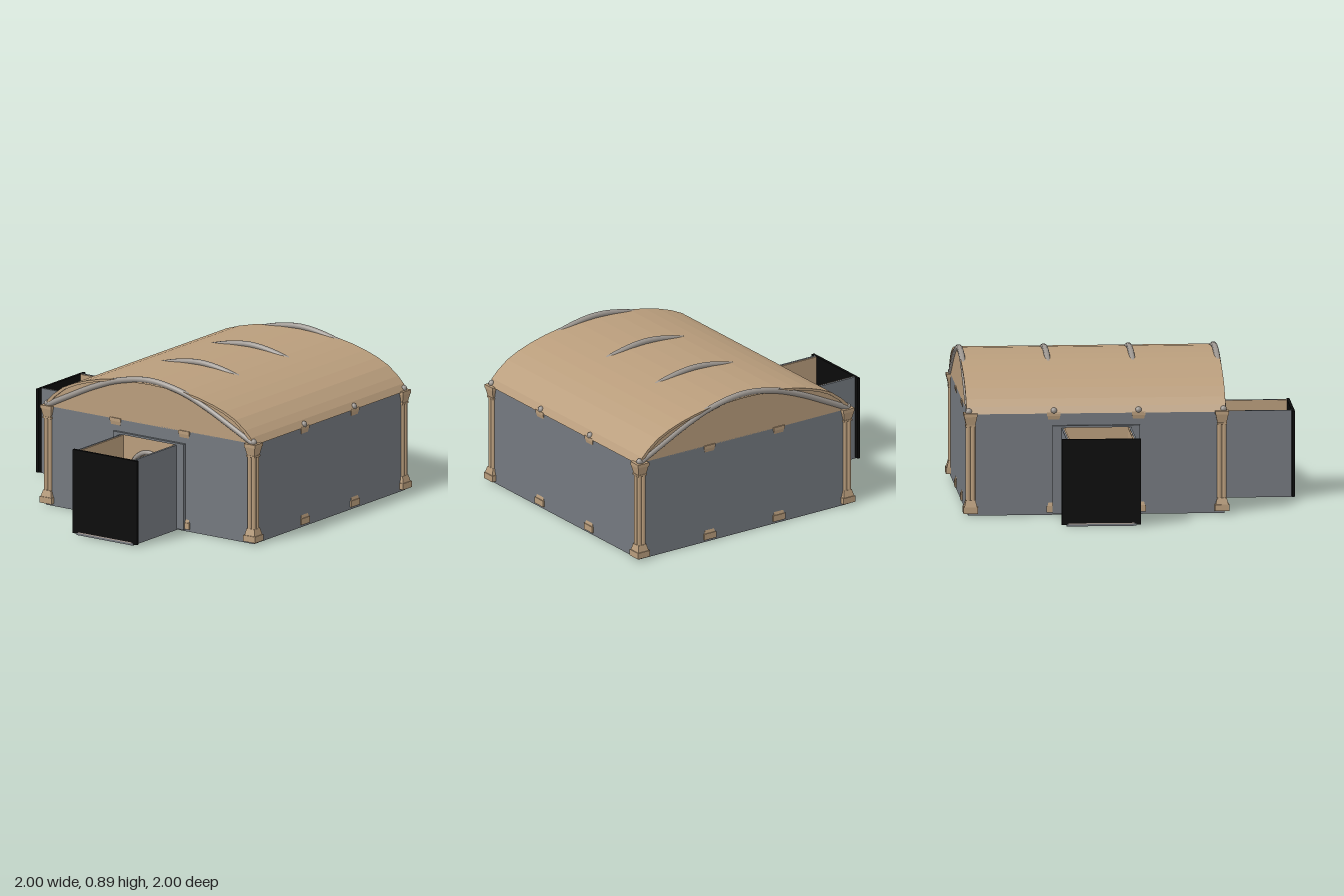
import * as THREE from 'three';

const mat = (name, color) => {
  const m = new THREE.MeshStandardMaterial({ color });
  m.name = name;
  return m;
};

export function createModel() {
  const wallGrey = mat('wall grey', 0x74797f);
  const sandstone = mat('sandstone', 0xb99d7c);
  const ribGrey = mat('rib grey', 0x9c9690);
  const floorStone = mat('floor stone', 0xaa9d95);
  const black = mat('black', 0x0a0a0a);

  const model = new THREE.Group();
  const hall = new THREE.Group();
  hall.name = 'hall';
  hall.position.set(0.21, 0, -0.215);
  model.add(hall);

  const add = (parent, name, geo, material, x = 0, y = 0, z = 0) => {
    const m = new THREE.Mesh(geo, material);
    m.name = name;
    m.position.set(x, y, z);
    parent.add(m);
    return m;
  };
  const box = (parent, name, material, w, h, d, x, y, z) =>
    add(parent, name, new THREE.BoxGeometry(w, h, d), material, x, y, z);
  const extrude = (shape, depth) =>
    new THREE.ExtrudeGeometry(shape, { depth, bevelEnabled: false, curveSegments: 16 });
  const rect = (w, y0, y1) => new THREE.Shape([
    new THREE.Vector2(-w, y0), new THREE.Vector2(w, y0),
    new THREE.Vector2(w, y1), new THREE.Vector2(-w, y1)]);
  // Arched opening cut through a wall shape
  const cutArch = (shape) => {
    const hole = new THREE.Path();
    hole.moveTo(-0.12, 0.02);
    hole.lineTo(-0.12, 0.31);
    hole.absarc(0, 0.31, 0.12, Math.PI, 0, true);
    hole.lineTo(0.12, 0.02);
    hole.closePath();
    shape.holes.push(hole);
    return shape;
  };

  const W = 0.757, TOP = 0.61;

  // Floor slab
  box(hall, 'floorSlab', wallGrey, 2 * W, 0.014, 2 * W, 0, 0.007, 0);
  box(hall, 'innerFloor', floorStone, 2 * W - 0.04, 0.006, 2 * W - 0.04, 0, 0.017, 0);

  // Four walls and, on the front and the right, an open-topped passage
  for (let i = 0; i < 4; i++) {
    const side = new THREE.Group();
    side.name = ['frontSide', 'rightSide', 'backSide', 'leftSide'][i];
    side.rotation.y = -i * Math.PI / 2;
    hall.add(side);
    const shape = rect(W, 0.008, TOP), liner = rect(W - 0.02, 0.014, TOP);
    const hasPassage = i < 2;
    if (hasPassage) [shape, liner].forEach(cutArch);
    add(side, 'wall', extrude(shape, 0.01), wallGrey, 0, 0, W - 0.01);
    add(side, 'wallLining', extrude(liner, 0.008), sandstone, 0, 0, W - 0.018);
    if (hasPassage) addPassage(side);
  }

  function addPassage(side) {
    const passage = new THREE.Group();
    passage.name = 'passage';
    side.add(passage);
    const end = 1.21, len = end - W, mid = (end + W) / 2;
    box(passage, 'passageFloor', wallGrey, 0.41, 0.012, len, 0, 0.008, mid);
    box(passage, 'passagePaving', floorStone, 0.39, 0.006, len, 0, 0.017, mid);
    box(passage, 'endPlate', black, 0.468, 0.51, 0.018, 0, 0.265, end - 0.009);
    for (const s of [-1, 1]) {
      box(passage, 'passageWall', wallGrey, 0.012, 0.508, len - 0.018, s * 0.2, 0.266, mid - 0.009);
      box(passage, 'passageLining', sandstone, 0.008, 0.504, len - 0.018, s * 0.19, 0.266, mid - 0.009);
      box(passage, 'doorPost', wallGrey, 0.052, 0.515, 0.018, s * 0.232, 0.268, W + 0.009);
    }
    box(passage, 'doorLintel', wallGrey, 0.516, 0.012, 0.018, 0, 0.527, W + 0.009);
    // Stone infill with a raised arch moulding
    add(passage, 'doorInfill', extrude(cutArch(rect(0.205, 0.015, 0.521)), 0.008), sandstone, 0, 0, W);
    add(passage, 'archMoulding', new THREE.TorusGeometry(0.128, 0.014, 8, 20, Math.PI), ribGrey, 0, 0.31, W + 0.01);
    for (const s of [-1, 1])
      add(passage, 'archJamb', new THREE.CylinderGeometry(0.014, 0.014, 0.29, 8), ribGrey, s * 0.128, 0.165, W + 0.01);
  }

  // Columns: stepped base, clustered shaft, flared capital
  const flare = (rTop, rBottom, h) => {
    const g = new THREE.CylinderGeometry(rTop * Math.SQRT2, rBottom * Math.SQRT2, h, 4).toNonIndexed();
    g.rotateY(Math.PI / 4);
    g.computeVertexNormals();
    return g;
  };
  const addColumn = (x, z) => {
    const c = new THREE.Group();
    c.name = 'column';
    c.position.set(x, 0, z);
    hall.add(c);
    box(c, 'plinth', sandstone, 0.086, 0.038, 0.086, 0, 0.034, 0);
    add(c, 'base', flare(0.028, 0.038, 0.04), sandstone, 0, 0.072, 0);
    for (const sx of [-1, 1]) for (const sz of [-1, 1])
      add(c, 'shaft', new THREE.CylinderGeometry(0.0145, 0.0145, 0.46, 8), sandstone, sx * 0.014, 0.31, sz * 0.014);
    box(c, 'necking', sandstone, 0.06, 0.01, 0.06, 0, 0.535, 0);
    add(c, 'capital', flare(0.038, 0.027, 0.052), sandstone, 0, 0.566, 0);
    box(c, 'abacus', sandstone, 0.08, 0.02, 0.08, 0, 0.601, 0);
  };
  const C = 0.742, E = 0.724, P = 0.25;
  for (const a of [-1, 1]) for (const b of [-1, 1]) {
    addColumn(a * C, b * C);
    addColumn(a * E, b * P);
    addColumn(a * P, b * E);
  }

  // Barrel roof shell with filled end gables
  const half = [[0.765, 0.605], [0.74, 0.645], [0.70, 0.685], [0.63, 0.738], [0.55, 0.775],
    [0.46, 0.805], [0.36, 0.83], [0.25, 0.849], [0.13, 0.861], [0, 0.865]];
  const arch = (sx, dy) => {
    const right = half.map(([x, y], i) => new THREE.Vector2(x * sx, i ? y - dy : y));
    return right.concat(right.slice(0, -1).reverse().map(p => new THREE.Vector2(-p.x, p.y)));
  };
  const shell = new THREE.Shape(arch(1, 0).concat(arch(0.98, 0.012).reverse()));
  add(hall, 'roof', extrude(shell, 1.53), sandstone, 0, 0, -0.765);
  for (const s of [-1, 1])
    add(hall, 'gable', extrude(new THREE.Shape(arch(0.99, 0.005)), 0.01), sandstone, 0, 0, s * 0.752 - 0.005);

  // Arched ribs ending in rounded feet
  const rib = [[-0.748, 0.612], [-0.6, 0.685], [-0.41, 0.775], [-0.225, 0.842], [0, 0.875],
    [0.225, 0.842], [0.41, 0.775], [0.6, 0.685], [0.748, 0.612]];
  const ribCurve = new THREE.CatmullRomCurve3(rib.map(([x, y]) => new THREE.Vector3(x, y, 0)));
  for (const z of [-0.752, -P, P, 0.752]) {
    add(hall, 'rib', new THREE.TubeGeometry(ribCurve, 40, 0.018, 10), ribGrey, 0, 0, z);
    for (const s of [-1, 1])
      add(hall, 'ribFoot', new THREE.SphereGeometry(0.019, 12, 8), ribGrey, s * 0.752, 0.62, z);
  }
  return model;
}
